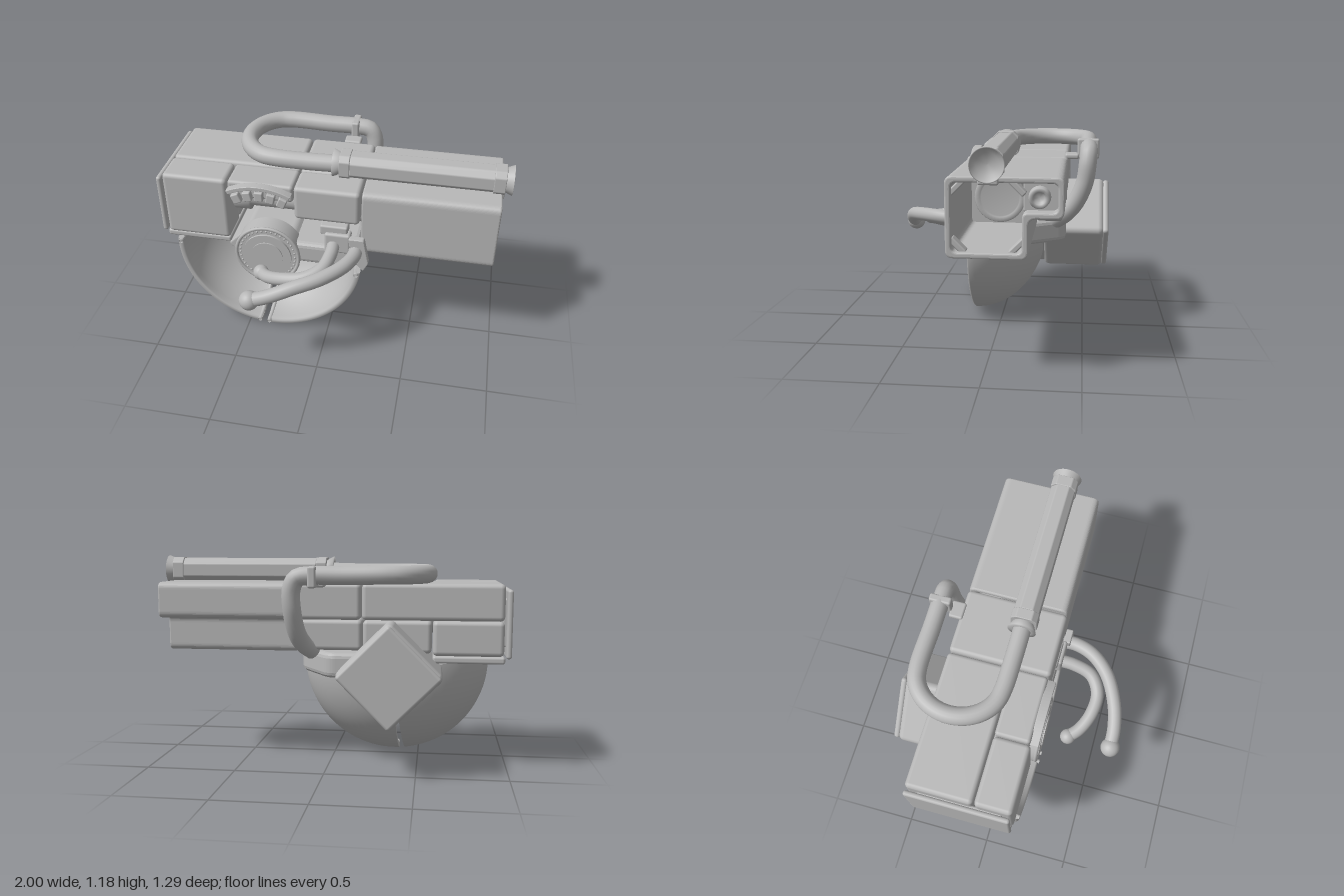
import * as THREE from 'three';
import { RoundedBoxGeometry } from 'three/addons/geometries/RoundedBoxGeometry.js';

const V = (x, y, z) => new THREE.Vector3(x, y, z);

export function createModel() {
  const model = new THREE.Group();
  const grey = new THREE.MeshStandardMaterial({ color: 0xb8b8b8, side: THREE.DoubleSide });
  grey.name = 'plainGrey';

  const add = (name, geometry, x = 0, y = 0, z = 0) => {
    const mesh = new THREE.Mesh(geometry, grey);
    mesh.name = name;
    mesh.position.set(x, y, z);
    model.add(mesh);
    return mesh;
  };
  // Rounded block given by its limits on each axis
  const block = (name, x0, x1, y0, y1, z0, z1, r = 0.025) =>
    add(name, new RoundedBoxGeometry(x1 - x0, y1 - y0, z1 - z0, 3, r),
      (x0 + x1) / 2, (y0 + y1) / 2, (z0 + z1) / 2);
  // Turned part along x, profile as [x, radius]
  const turnedX = (name, profile, y, z) =>
    add(name, new THREE.LatheGeometry(profile.map(([x, r]) => new THREE.Vector2(r, x)), 40)
      .rotateZ(-Math.PI / 2), 0, y, z);
  const tube = (name, points, r) =>
    add(name, new THREE.TubeGeometry(new THREE.CatmullRomCurve3(points, false, 'centripetal'), 90, r, 18));
  // Polygon with rounded corners
  const rounded = (pts, r, Type = THREE.Shape) => {
    const s = new Type();
    pts.forEach((p, i) => {
      const c = new THREE.Vector2(...p);
      const a = new THREE.Vector2(...pts[(i + pts.length - 1) % pts.length]).sub(c).setLength(r).add(c);
      const b = new THREE.Vector2(...pts[(i + 1) % pts.length]).sub(c).setLength(r).add(c);
      if (i) s.lineTo(a.x, a.y); else s.moveTo(a.x, a.y);
      s.quadraticCurveTo(c.x, c.y, b.x, b.y);
    });
    s.closePath();
    return s;
  };
  const extrude = (shape, depth, bevel = 0.006) => new THREE.ExtrudeGeometry(shape, {
    depth: depth - 2 * bevel, bevelSize: bevel, bevelThickness: bevel, bevelOffset: -bevel,
    bevelSegments: 3, curveSegments: 10,
  }).translate(0, 0, bevel);

  // Body blocks
  block('endBlock', -0.96, -0.58, 0.64, 1.04, -0.03, 0.175);
  block('rearUpperBlock', -0.96, -0.195, 0.84, 1.04, -0.4, -0.035);
  block('centreUpperBlock', -0.19, 0.19, 0.84, 1.04, -0.4, -0.02);
  block('centreFrontBlock', -0.19, 0.185, 0.83, 1.04, -0.02, 0.175);
  block('recessRoof', -0.575, -0.195, 0.93, 1.035, -0.03, 0.165, 0.02);
  block('rearLowerBlock', -0.96, -0.58, 0.65, 0.84, -0.4, -0.03);
  block('rearMiddleBlock', -0.575, -0.2, 0.66, 0.84, -0.39, -0.2);
  block('rearInnerBlock', -0.195, 0.18, 0.67, 0.84, -0.38, -0.22);
  block('endCap', -1, -0.97, 0.64, 1.01, -0.4, 0.17, 0.014);
  block('capCore', -0.98, -0.95, 0.7, 0.96, -0.34, 0.12, 0.01);
  block('bottomRail', -0.97, -0.58, 0.605, 0.645, -0.36, 0.165, 0.014);

  // Hollow forward shell, with an L-shaped section
  const shellShape = rounded([[-0.17, 0.64], [0.23, 0.64], [0.23, 0.84], [0.4, 0.84], [0.4, 1.04], [-0.17, 1.04]], 0.04);
  shellShape.holes.push(rounded([[-0.14, 0.67], [0.2, 0.67], [0.2, 0.87], [0.37, 0.87], [0.37, 1.01], [-0.14, 1.01]], 0.03, THREE.Path));
  add('forwardShell', extrude(shellShape, 0.755, 0.01).rotateY(Math.PI / 2), 0.195);
  block('shellBackPlate', 0.2, 0.23, 0.66, 1.02, -0.21, 0.15, 0.01);
  block('sidePortPlate', 0.84, 0.87, 0.86, 1.02, -0.38, -0.2, 0.01);
  turnedX('sidePort', [[0.86, 0.055], [0.92, 0.05], [0.92, 0.03], [0.89, 0.025], [0.89, 0]], 0.935, -0.28);
  turnedX('barrel', [[-0.58, 0.08], [-0.58, 0.1], [-0.49, 0.1], [-0.49, 0.075], [-0.2, 0.075],
    [-0.2, 0.1], [0.2, 0.1], [0.2, 0.14], [0.36, 0.14], [0.37, 0.135], [0.37, 0.11], [0.36, 0.105], [0.36, 0]], 0.84, -0.035);
  // Corner clips inside the shell mouth
  for (const sy of [-1, 1]) for (const sz of [-1, 1]) {
    const clip = block('cornerClip', 0.86, 0.92, -0.015, 0.015, -0.05, 0.05, 0.008);
    clip.position.set(0.89, 0.84 + sy * 0.145, -0.03 + sz * 0.145);
    clip.rotation.x = sy * sz * Math.PI / 4;
  }

  // Arched gauge above the recess
  const arch = new THREE.Shape();
  arch.absarc(-0.385, 0.63, 0.41, Math.PI * 0.35, Math.PI * 0.65, false);
  arch.absarc(-0.385, 0.63, 0.385, Math.PI * 0.65, Math.PI * 0.35, true);
  add('gaugeArch', extrude(arch, 0.05, 0.004), 0, 0, 0.16);
  for (let i = -2; i <= 2; i++) {
    const a = i * 0.2;
    const key = block('gaugeKey', -0.025, 0.025, -0.03, 0.03, -0.02, 0.02, 0.008);
    key.position.set(-0.385 + Math.sin(a) * 0.34, 0.63 + Math.cos(a) * 0.34, 0.185);
    key.rotation.z = -a;
  }
  block('gaugeSill', -0.56, -0.21, 0.9, 0.93, 0.0, 0.1, 0.01);

  // Sighting tube on top: chamfered housing between two clamps
  const chamferedX = (name, x0, x1, h, c) => add(name, extrude(rounded([[-h, -h + c], [-h + c, -h], [h - c, -h],
    [h, -h + c], [h, h - c], [h - c, h], [-h + c, h], [-h, h - c]], 0.006), x1 - x0, 0.004).rotateY(Math.PI / 2), x0, 1.1, -0.04);
  chamferedX('sightHousing', 0.1, 0.9, 0.07, 0.035);
  chamferedX('sightRearClamp', 0.04, 0.1, 0.074, 0.03);
  chamferedX('sightFrontClamp', 0.895, 0.96, 0.074, 0.03);
  turnedX('sightMouth', [[0.9, 0.06], [0.95, 0.065], [0.998, 0.085], [1, 0.08], [0.965, 0.055], [0.962, 0]], 1.1, -0.04);
  turnedX('sightRearCollar', [[0, 0.05], [0, 0.08], [0.04, 0.06], [0.1, 0.06]], 1.1, -0.04);
  for (const x of [0.07, 0.93]) block('sightFoot', x - 0.03, x + 0.03, 1.0, 1.06, -0.09, 0.01, 0.01);

  // Looped hose
  const loop = [V(0.04, 1.095, -0.04), V(-0.15, 1.09, -0.04)];
  for (let i = 0; i <= 8; i++) {
    const a = i / 8 * Math.PI;
    loop.push(V(-0.34 - Math.sin(a) * 0.21, 1.09, -0.28 + Math.cos(a) * 0.235));
  }
  loop.push(V(-0.1, 1.085, -0.515), V(0.06, 1.085, -0.515), V(0.14, 1.07, -0.515), V(0.17, 1.01, -0.51),
    V(0.17, 0.9, -0.495), V(0.155, 0.78, -0.445), V(0.13, 0.71, -0.39), V(0.08, 0.66, -0.33));
  tube('hose', loop, 0.05);
  block('hoseClamp', 0.03, 0.075, 1.02, 1.135, -0.575, -0.45, 0.012);
  block('hoseClampStem', 0.0, 0.1, 1.02, 1.05, -0.46, -0.38, 0.012);

  // Diamond hub with a clipped top, and the rear pack
  const cx = -0.355, cy = 0.56;
  add('hub', extrude(rounded([[-0.26, 0], [0, -0.26], [0.26, 0], [0.14, 0.12], [-0.14, 0.12]], 0.02), 0.39, 0.01), cx, cy, -0.27);
  const diamond = (name, side, z0, z1, r) => {
    const m = block(name, -side / 2, side / 2, -side / 2, side / 2, z0, z1, r);
    m.position.set(cx, cy, (z0 + z1) / 2);
    m.rotation.z = Math.PI / 4;
  };
  diamond('rearPack', 0.415, -0.62, -0.25, 0.035);
  diamond('packCover', 0.395, -0.648, -0.612, 0.017);

  // Dial with studs
  const disc = (name, r, z0, z1) =>
    add(name, new THREE.CylinderGeometry(r, r, z1 - z0, 48).rotateX(Math.PI / 2), cx, cy, (z0 + z1) / 2);
  disc('dialBase', 0.195, 0.08, 0.185);
  disc('dialFace', 0.145, 0.18, 0.198);
  disc('dialCentre', 0.095, 0.19, 0.205);
  add('dialRim', new THREE.TorusGeometry(0.188, 0.01, 8, 48), cx, cy, 0.187);
  for (let i = 0; i < 36; i++) {
    const a = i / 36 * Math.PI * 2;
    add('dialStud', new THREE.SphereGeometry(0.007, 8, 6), cx + Math.cos(a) * 0.166, cy + Math.sin(a) * 0.166, 0.186);
  }
  block('dialLug', cx - 0.035, cx + 0.035, 0.325, 0.39, 0.08, 0.17, 0.012);

  // Two bowl petals: thick dished sectors opening forward
  const bowl = [];
  const arc = (r, depth, i) => {
    const t = 0.1 + i / 20 * (Math.PI / 2 - 0.1);
    bowl.push(new THREE.Vector2(Math.sin(t) * r, -Math.cos(t) * depth));
  };
  for (let i = 0; i <= 20; i++) arc(0.557, 0.44, i);
  bowl.push(new THREE.Vector2(0.55, 0.01), new THREE.Vector2(0.53, 0.01));
  for (let i = 20; i >= 0; i--) arc(0.525, 0.41, i);
  bowl.push(bowl[0].clone());
  for (const [name, from, to] of [['rightPetal', -94, -6.8], ['leftPetal', -3.2, 83]]) {
    const p0 = THREE.MathUtils.degToRad(from), p1 = THREE.MathUtils.degToRad(to);
    add(name, new THREE.LatheGeometry(bowl, 40, p0, p1 - p0).rotateX(Math.PI / 2), cx, cy, 0.17);
    for (const [p, inward] of [[p0, 1], [p1, -1]]) {
      add(name + 'Edge', new THREE.ShapeGeometry(new THREE.Shape(bowl)).rotateY(p - Math.PI / 2)
        .rotateX(Math.PI / 2), cx, cy, 0.17);
      // Raised lip set just inside each straight edge
      const lip = bowl.slice(3, 21).map(q => {
        const a = p + inward * 0.013 / q.x, r = q.x - 0.022;
        return V(Math.sin(a) * r, -Math.cos(a) * r, q.y + 0.02);
      });
      tube(name + 'Lip', lip, 0.013).position.set(cx, cy, 0.17);
    }
  }

  // Side bracket, tapering towards the back in plan
  add('sideBracket', extrude(rounded([[-0.3, 0.17], [0.18, 0.17], [0.18, -0.12], [0.0, -0.39], [-0.3, -0.39]], 0.05), 0.14, 0.03)
    .rotateX(Math.PI / 2), 0, 0.655, 0);
  add('handlePlate', extrude(rounded([[0.13, 0.76], [0.22, 0.76], [0.25, 0.6], [0.22, 0.54], [0.15, 0.62]], 0.012), 0.04), 0, 0, 0.175);
  block('handleBridge', -0.04, 0.12, 0.75, 0.81, 0.1, 0.18, 0.012);
  block('handleMount', -0.01, 0.14, 0.64, 0.77, 0.13, 0.2, 0.015);

  // Handles with ball ends
  tube('longHandle', [V(0.17, 0.67, 0.17), V(0.17, 0.675, 0.25), V(0.13, 0.68, 0.36), V(0.03, 0.67, 0.47),
    V(-0.12, 0.64, 0.55), V(-0.25, 0.59, 0.585), V(-0.355, 0.55, 0.59)], 0.04);
  add('longHandleBall', new THREE.SphereGeometry(0.056, 24, 16), -0.355, 0.55, 0.59);
  tube('shortHandle', [V(0.04, 0.69, 0.16), V(0.04, 0.68, 0.27), V(0.01, 0.66, 0.38), V(-0.08, 0.63, 0.44),
    V(-0.2, 0.6, 0.435), V(-0.3, 0.565, 0.39), V(-0.355, 0.545, 0.335)], 0.037);
  add('shortHandleBall', new THREE.SphereGeometry(0.045, 24, 16), -0.355, 0.545, 0.335);

  return model;
}
